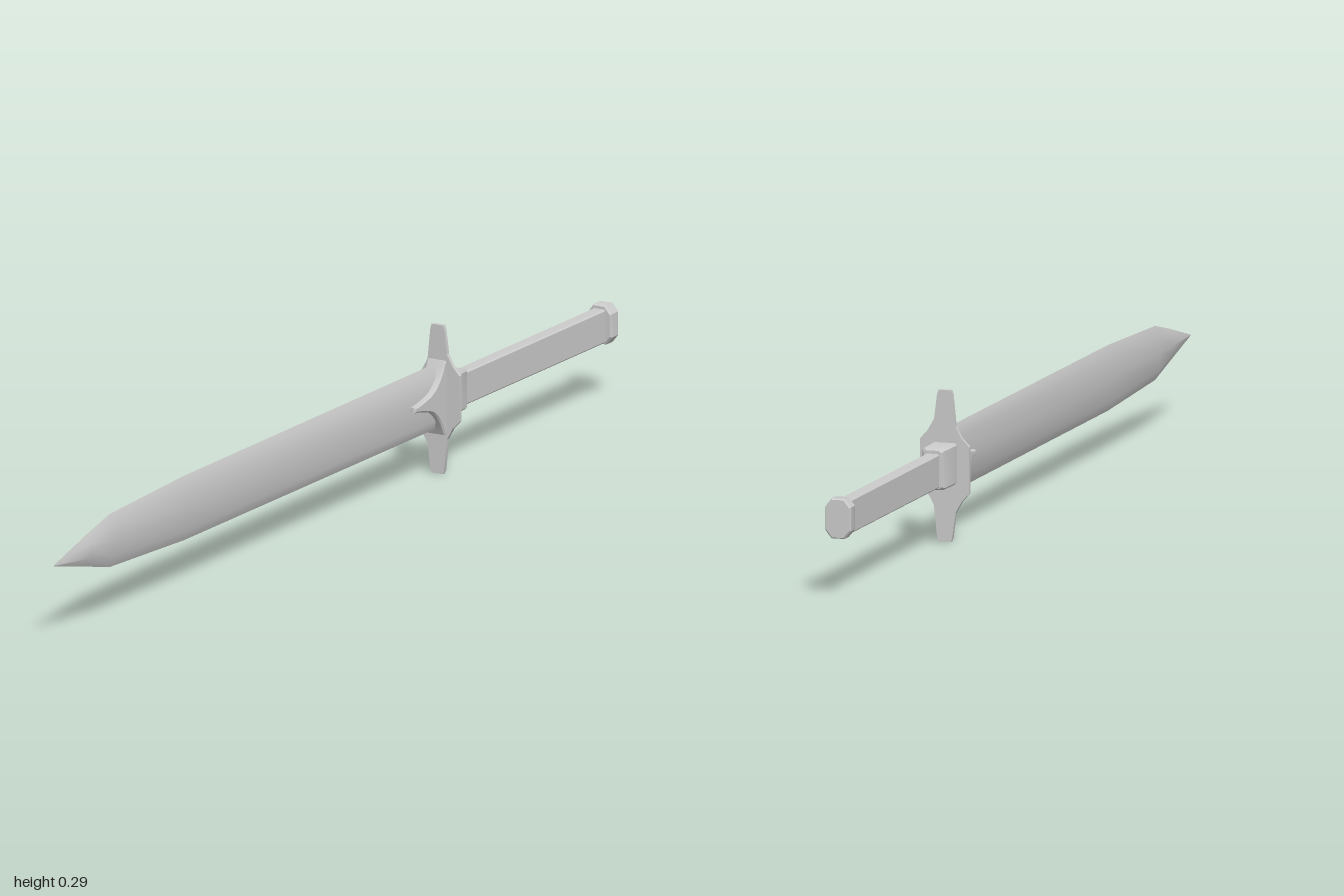
import * as THREE from 'three';
import { toCreasedNormals } from 'three/addons/utils/BufferGeometryUtils.js';

const MID = 0.148; // height of the sword's long axis
const material = new THREE.MeshStandardMaterial({ color: 0xcccccc });

// Skin a row of sections along z; each is { z, pts } with pts counter-clockwise seen from +z
function loft(sections, crease = 0.5) {
  const n = sections[0].pts.length, pos = [], idx = [];
  for (const { z, pts } of sections) for (const [x, y] of pts) pos.push(x, y, z);
  for (let s = 0; s < sections.length - 1; s++) {
    for (let i = 0; i < n; i++) {
      const a = s * n + i, b = s * n + (i + 1) % n;
      idx.push(a, b, b + n, a, b + n, a + n);
    }
  }
  // End caps fan out from a centre point
  [0, sections.length - 1].forEach((s, end) => {
    const { z, pts } = sections[s], c = pos.length / 3;
    const ys = pts.map((p) => p[1]);
    pos.push(0, (Math.max(...ys) + Math.min(...ys)) / 2, z);
    for (let i = 0; i < n; i++) {
      const a = s * n + i, b = s * n + (i + 1) % n;
      if (end) idx.push(c, a, b); else idx.push(c, b, a);
    }
  });
  const g = new THREE.BufferGeometry();
  g.setAttribute('position', new THREE.Float32BufferAttribute(pos, 3));
  g.setIndex(idx);
  return toCreasedNormals(g, crease);
}

// Rectangle with cut corners
function octagon(w, y0, y1, cx, cy = cx) {
  return [
    [w, y0 + cy], [w, y1 - cy], [w - cx, y1], [cx - w, y1],
    [-w, y1 - cy], [-w, y0 + cy], [cx - w, y0], [w - cx, y0],
  ];
}

// Double-edged blade section
function bladeSection(z, w, y0, y1, bevel) {
  const mid = (y0 + y1) / 2;
  return { z, pts: [[0, y0], [w, y0 + bevel], [w * 1.08, mid], [w, y1 - bevel],
    [0, y1], [-w, y1 - bevel], [-w * 1.08, mid], [-w, y0 + bevel]] };
}

export function createModel() {
  const sword = new THREE.Group();
  sword.name = 'sword';
  const add = (name, geometry) => {
    const mesh = new THREE.Mesh(geometry, material);
    mesh.name = name;
    sword.add(mesh);
  };

  // Blade: parallel, then narrowing to the point
  add('blade', loft([
    bladeSection(-0.39, 0.009, 0.087, 0.213, 0.02),
    bladeSection(0.53, 0.009, 0.088, 0.212, 0.02),
    bladeSection(0.8, 0.009, 0.1, 0.202, 0.02),
    bladeSection(0.88, 0.008, 0.12, 0.183, 0.017),
    bladeSection(1, 0.0003, 0.149, 0.151, 0.0005),
  ], 0.8));

  // Guard plate: right-hand outline turned through half a circle for the left
  const half = [[0.012, 0], [0.015, 0.008], [0.021, 0.068], [0.033, 0.09], [0.048, 0.105],
    [0.048, 0.193], [0.034, 0.208], [0.021, 0.231], [0.015, 0.278], [0.012, 0.286]];
  const outline = [...half, ...half.map(([x, y]) => [-x, 0.286 - y])];
  add('guard', loft([{ z: -0.393, pts: outline }, { z: -0.385, pts: outline }], 0.3));

  // Langet: concave wedge reaching forward over the blade
  const bevel = 0.003;
  const side = new THREE.Shape();
  side.moveTo(-0.388, 0.08);
  side.lineTo(-0.382, 0.08);
  side.quadraticCurveTo(-0.36, 0.132, -0.318, 0.138);
  side.quadraticCurveTo(-0.29, 0.146, -0.274, 0.146);
  side.lineTo(-0.274, 0.152);
  side.quadraticCurveTo(-0.29, 0.152, -0.318, 0.159);
  side.quadraticCurveTo(-0.36, 0.166, -0.382, 0.216);
  side.lineTo(-0.388, 0.216);
  side.closePath();
  const langet = new THREE.ExtrudeGeometry(side, {
    depth: 0.034, bevelSize: bevel, bevelThickness: bevel, bevelSegments: 1, curveSegments: 8,
  });
  langet.translate(0, 0, -0.017).rotateY(-Math.PI / 2);
  add('langet', toCreasedNormals(langet, 0.5));

  // Collar behind the guard, rounded off toward the grip
  add('collar', loft([
    { z: -0.463, pts: octagon(0.017, MID - 0.036, MID + 0.036, 0.004) },
    { z: -0.455, pts: octagon(0.022, MID - 0.039, MID + 0.039, 0.004) },
    { z: -0.39, pts: octagon(0.024, MID - 0.039, MID + 0.039, 0.004) },
  ], 0.6));

  // Grip and pommel
  const grip = octagon(0.013, 0.113, 0.178, 0.003);
  add('grip', loft([{ z: -0.975, pts: grip }, { z: -0.455, pts: grip }]));
  const pommel = octagon(0.025, 0.11, 0.185, 0.012, 0.015);
  const pommelEnd = octagon(0.023, 0.112, 0.183, 0.012, 0.015);
  add('pommel', loft([
    { z: -1, pts: pommelEnd }, { z: -0.997, pts: pommel },
    { z: -0.974, pts: pommel }, { z: -0.97, pts: pommelEnd },
  ]));

  return sword;
}
